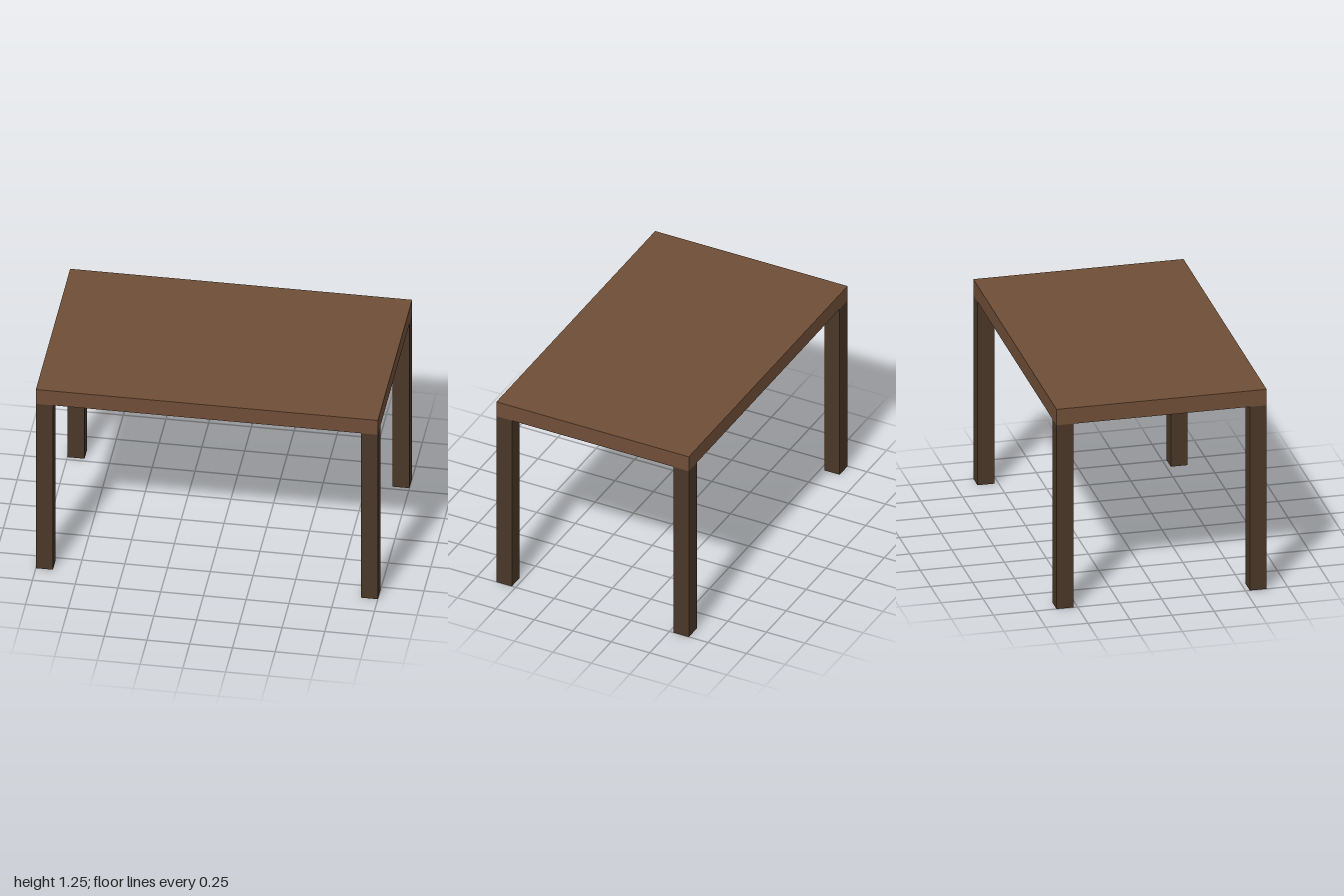
import * as THREE from 'three';

const WIDTH = 2, DEPTH = 1.25, HEIGHT = 1.25;
const TOP = 0.1; // tabletop thickness
const LEG = 0.1; // square leg width

export function createModel() {
  const table = new THREE.Group();
  table.name = 'table';
  const topWood = new THREE.MeshStandardMaterial({ color: 0x6f4e37 });
  const legWood = new THREE.MeshStandardMaterial({ color: 0x4a3728 });

  // Tabletop slab
  const top = new THREE.Mesh(new THREE.BoxGeometry(WIDTH, TOP, DEPTH), topWood);
  top.name = 'tabletop';
  top.position.y = HEIGHT - TOP / 2;
  table.add(top);

  // Four square legs, flush with the corners
  const legHeight = HEIGHT - TOP;
  const legGeometry = new THREE.BoxGeometry(LEG, legHeight, LEG);
  for (const [zName, z] of [['front', 1], ['back', -1]]) {
    for (const [xName, x] of [['Left', 1], ['Right', -1]]) {
      const leg = new THREE.Mesh(legGeometry, legWood);
      leg.name = `${zName}${xName}Leg`;
      leg.position.set(x * (WIDTH - LEG) / 2, legHeight / 2, z * (DEPTH - LEG) / 2);
      table.add(leg);
    }
  }
  return table;
}
